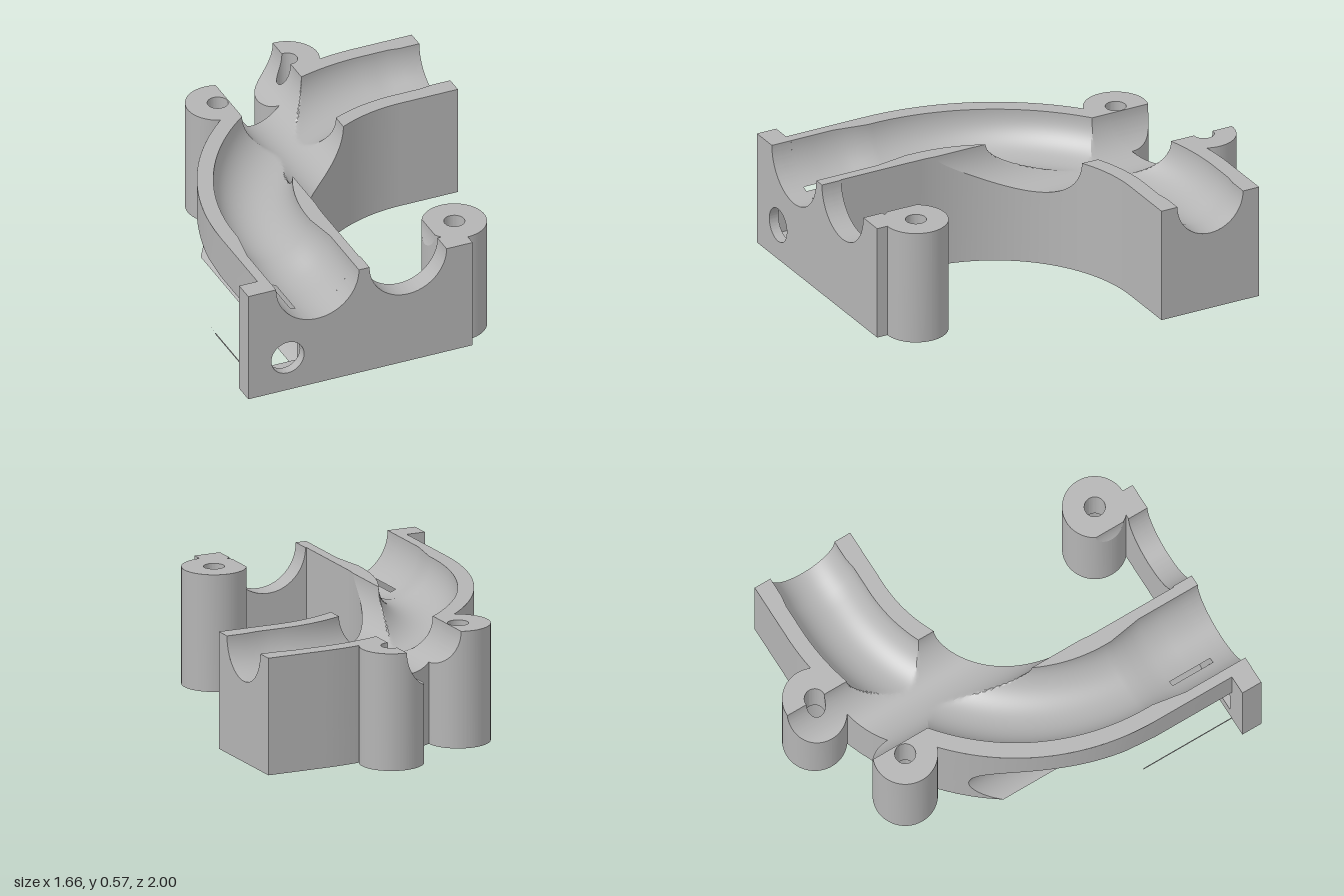
import * as THREE from 'three';
import { toCreasedNormals } from 'three/addons/utils/BufferGeometryUtils.js';

const H = 0.575;                       // height of the parting plane
const CX = 0.53, CZ = 0.47;            // centre of the bend
const HALF = 0.265;                    // half width of the bend block
const RO = 1 + HALF, RI = 1 - HALF;    // outer and inner bend radius
const CUT = 0.2;                       // straight bore along z
const SX = -0.625, SY = 0.18, SR = 0.21; // side scoop along z
const BACK = 0.895;                    // rear face of the front plate

const grey = new THREE.MeshStandardMaterial({ color: 0xb4b4b4, side: THREE.DoubleSide });
grey.name = 'grey';

const lerp = THREE.MathUtils.lerp;
const cutY = x => H - Math.sqrt(Math.max(0, CUT * CUT - x * x));
const outerZ = x => CZ - Math.sqrt(Math.max(0, RO * RO - (CX - x) ** 2));
const range = (n, f) => Array.from({ length: n + 1 }, (_, i) => f(i / n));

function add(group, name, geometry) {
  const m = new THREE.Mesh(geometry, grey);
  m.name = name;
  group.add(m);
  return m;
}

// Surface through rows of [x, y, z] points
function surface(rows, skip = () => false) {
  const p = [];
  for (let i = 0; i + 1 < rows.length; i++) {
    for (let j = 0; j + 1 < rows[i].length; j++) {
      if (skip(i, j)) continue;
      const a = rows[i][j], b = rows[i + 1][j], c = rows[i + 1][j + 1], d = rows[i][j + 1];
      p.push(...a, ...b, ...c, ...a, ...c, ...d);
    }
  }
  const g = new THREE.BufferGeometry();
  g.setAttribute('position', new THREE.Float32BufferAttribute(p, 3));
  g.computeVertexNormals();
  return toCreasedNormals(g, 0.4);
}

// Stations along the bend: channel radius and position at an offset t
function stations() {
  const list = [];
  const arc = (rho, th) => [CX - rho * Math.cos(th), CZ - rho * Math.sin(th)];
  const angle = (rho, x) => Math.acos((CX - x) / rho);
  for (const z of [BACK, 0.78, 0.67, 0.61, 0.56, 0.5, CZ]) {
    const r = lerp(0.187, 0.215, THREE.MathUtils.clamp((z - 0.5) / 0.17, 0, 1));
    list.push({ r, at: t => [-0.47 - t, z] });
  }
  for (let i = 1; i <= 24; i++)
    list.push({ r: 0.187, at: t => arc(1 + t, angle(1 + t, -CUT) * i / 24) });
  for (let i = 1; i <= 40; i++)
    list.push({ r: 0.187, at: t => arc(1 + t, angle(1 + t, -CUT * Math.cos(Math.PI * i / 40))) });
  for (let i = 1; i <= 16; i++)
    list.push({ r: 0.187, at: t => arc(1 + t, lerp(angle(1 + t, CUT), Math.PI / 2, i / 16)) });
  for (const x of [0.6, 0.67, 0.73, 0.83])
    list.push({ r: x > 0.7 ? 0.178 : 0.187, at: t => [x, CZ - 1 - t] });
  return list;
}

function bendBlock() {
  const g = new THREE.Group();
  g.name = 'bendBlock';

  // Top face with the curved channel and the straight bore
  const rows = stations().map(({ r, at }) => {
    const ts = [HALF, ...range(40, u => r * Math.cos(Math.PI * u)), -HALF];
    return ts.map(t => {
      const [x, z] = at(t);
      const channel = H - Math.sqrt(Math.max(0, r * r - t * t));
      return [x, Math.min(channel, cutY(x)), z];
    });
  });
  // Leave the narrow slit open in the channel floor
  add(g, 'channelTop', surface(rows, (i, j) => i < 2 && (j === 15 || j === 16)));

  // Inner wall
  add(g, 'innerWall', surface(rows.map(r => {
    const [x, y, z] = r[r.length - 1];
    return [[x, 0, z], [x, y, z]];
  })));

  // Outer wall, open where the scoop passes through it
  const start = Math.acos((-0.735 - SX) / SR);
  const wall = [[-0.735, BACK, H, SY + SR * Math.sin(start), 0]];
  for (const a of range(40, u => lerp(start, 0, u))) {
    const x = SX + SR * Math.cos(a), s = SR * Math.sin(a);
    wall.push([x, outerZ(x), H, SY + s, Math.max(0, SY - s)]);
  }
  for (const [[x, y, z]] of rows) if (x > SX + SR + 0.001) wall.push([x, z, y, SY, SY]);
  add(g, 'outerWallUpper', surface(wall.map(([x, z, top, a]) => [[x, top, z], [x, a, z]])));
  add(g, 'outerWallLower', surface(wall.map(([x, z, , , b]) => [[x, b, z], [x, 0, z]])));

  // Scoop surface, with the matching slit
  const low = -Math.asin(SY / SR);
  const scoop = range(45, u => {
    const a = lerp(low, start, u);
    const x = SX + SR * Math.cos(a), y = SY + SR * Math.sin(a);
    return [BACK, 0.67, outerZ(x)].map(z => [x, y, z]);
  });
  add(g, 'sideScoop', surface(scoop, (i, j) => j === 0 && (i === 31 || i === 32)));
  const sliver = add(g, 'scoopSliver', new THREE.BoxGeometry(0.004, 0.004, 0.49));
  sliver.position.set(-0.733, 0.002, 0.65);

  // Underside (shape y becomes z)
  const sx = SX + SR * Math.cos(low);
  const s = new THREE.Shape();
  s.moveTo(sx, BACK);
  s.lineTo(sx, outerZ(sx));
  s.absarc(CX, CZ, RO, Math.atan2(outerZ(sx) - CZ, sx - CX), -Math.PI / 2, false);
  s.lineTo(0.83, CZ - RO);
  s.lineTo(0.83, CZ - RI);
  s.absarc(CX, CZ, RI, -Math.PI / 2, -Math.PI, true);
  s.lineTo(CX - RI, BACK);
  add(g, 'underside', new THREE.ShapeGeometry(s, 48).rotateX(Math.PI / 2));

  // End face of the outlet
  const e = new THREE.Shape();
  e.moveTo(-HALF, 0);
  e.lineTo(HALF, 0);
  e.lineTo(HALF, H);
  e.absarc(0, H, 0.178, 0, Math.PI, true);
  e.lineTo(-HALF, H);
  add(g, 'outletFace', new THREE.ShapeGeometry(e, 32).rotateY(Math.PI / 2)).position.set(0.83, 0, CZ - 1);
  return g;
}

// Screw boss with through hole and counterbore, trimmed by the straight bore
function screwBoss(name, cx, cz) {
  const g = new THREE.Group();
  g.name = name;
  const R = 0.155, hole = 0.05, bore = 0.088, depth = 0.35;
  const chord = (r, x) => Math.sqrt(Math.max(0, r * r - (x - cx) ** 2));
  const cosines = (c, r, n) => range(n, u => c - r * Math.cos(Math.PI * u));
  const xs = [...cosines(cx, R, 40), ...cosines(cx, hole, 20), ...cosines(0, CUT, 40)]
    .filter(x => Math.abs(x - cx) <= R + 1e-6)
    .sort((a, b) => a - b)
    .filter((x, i, all) => i === 0 || x - all[i - 1] > 1e-5);
  for (const side of [-1, 1]) {
    add(g, 'bossShell', surface(xs.map(x => {
      const zo = cz + side * chord(R, x), zi = cz + side * chord(hole, x), y = cutY(x);
      return [[x, 0, zo], [x, y, zo], [x, y, zi]];
    })));
    add(g, 'screwHole', surface(xs.filter(x => Math.abs(x - cx) <= hole + 1e-6).map(x => {
      const z = cz + side * chord(hole, x);
      return [[x, cutY(x), z], [x, depth, z]];
    })));
  }
  const profile = [[R, 0], [bore, 0], [bore, depth], [hole, depth]].map(p => new THREE.Vector2(...p));
  add(g, 'counterbore', toCreasedNormals(new THREE.LatheGeometry(profile, 40), 0.5)).position.set(cx, 0, cz);
  return g;
}

// Front plate: a round hole in front, a square nut pocket behind
function frontPlate() {
  const g = new THREE.Group();
  g.name = 'frontPlate';
  const layer = (name, hole, z0, z1) => {
    const s = new THREE.Shape();
    s.moveTo(-0.83, 0);
    s.lineTo(0.335, 0);
    s.lineTo(0.335, H);
    s.absarc(0, H, CUT, 0, Math.PI, true);
    s.absarc(-0.47, H, 0.215, 0, Math.PI, true);
    s.lineTo(-0.83, H);
    s.holes.push(hole);
    const geo = new THREE.ExtrudeGeometry(s, { depth: z1 - z0, bevelEnabled: false, curveSegments: 40 });
    add(g, name, toCreasedNormals(geo, 0.5)).position.z = z0;
  };
  const round = new THREE.Path().absarc(SX, SY, 0.085, 0, Math.PI * 2, true);
  const w = 0.095;
  const square = new THREE.Path([[-w, -w], [-w, w], [w, w], [w, -w]]
    .map(([x, y]) => new THREE.Vector2(SX + x, SY + y)));
  layer('plateFront', round, 0.95, 1);
  layer('plateBack', square, BACK, 0.95);
  return g;
}

export function createModel() {
  const model = new THREE.Group();
  model.name = 'pipeBendHalf';
  model.add(
    bendBlock(),
    frontPlate(),
    screwBoss('rearBoss', 0.205, -0.845),
    screwBoss('sideBoss', -0.255, -0.625),
    screwBoss('frontBoss', 0.335, 0.79)
  );
  return model;
}
